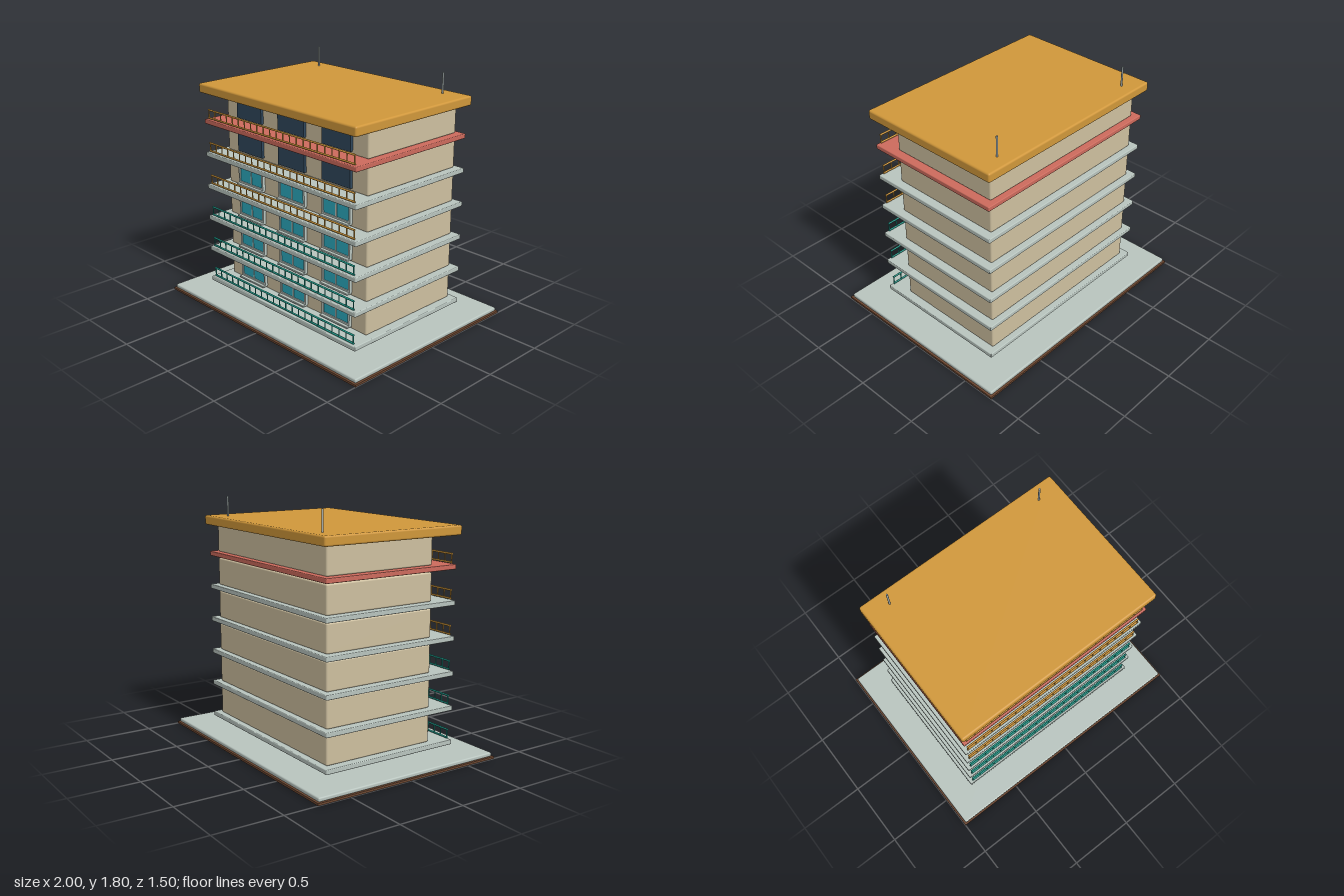
import * as THREE from 'three';
import { RoundedBoxGeometry } from 'three/addons/geometries/RoundedBoxGeometry.js';

const material = (name, color) => Object.assign(new THREE.MeshStandardMaterial({ color }), { name });

export function createModel() {
  const earth = material('earth brown', 0x6b4630);
  const concrete = material('concrete grey', 0xb8c4be);
  const plaster = material('beige plaster', 0xcdbf9f);
  const ochre = material('ochre', 0xd0973a);
  const red = material('coral red', 0xcc6a5c);
  const teal = material('teal', 0x1f9c8c);
  const glass = material('turquoise glass', 0x2cabbf);
  const darkGlass = material('dark blue glass', 0x30475c);
  const metal = material('metal grey', 0xa9b3b3);

  const model = new THREE.Group();
  model.name = 'apartmentBuilding';

  function add(parent, name, geometry, mat, x, y, z) {
    const mesh = new THREE.Mesh(geometry, mat);
    mesh.name = name;
    mesh.position.set(x, y, z);
    parent.add(mesh);
    return mesh;
  }
  const rounded = (w, h, d, r) => new RoundedBoxGeometry(w, h, d, 2, r);
  const box = (w, h, d) => new THREE.BoxGeometry(w, h, d);
  function group(parent, name, x = 0, y = 0, z = 0) {
    const g = new THREE.Group();
    g.name = name;
    g.position.set(x, y, z);
    parent.add(g);
    return g;
  }

  // Ground plate and paving
  add(model, 'groundPlate', box(2, 0.016, 1.5), earth, 0, 0.008, 0);
  add(model, 'paving', rounded(1.975, 0.03, 1.475, 0.01), concrete, 0, 0.03, 0);

  // Shared geometries
  const slabGeo = rounded(1.565, 0.035, 1.08, 0.006);
  const wallGeo = rounded(1.45, 0.205, 0.872, 0.012);
  const railGeo = new THREE.CylinderGeometry(0.007, 0.007, 1.51, 8).rotateZ(Math.PI / 2);
  const postGeo = new THREE.CylinderGeometry(0.0045, 0.0045, 0.06, 8);
  const wallFront = 0.372;

  // Balcony railing, origin on the slab top
  function railing(parent, mat) {
    const g = group(parent, 'railing', 0, 0, 0.522);
    add(g, 'topRail', railGeo, mat, 0, 0.071, 0);
    add(g, 'bottomRail', railGeo, mat, 0, 0.011, 0);
    const gaps = 22;
    for (let i = 0; i <= gaps; i++) {
      add(g, 'railPost', postGeo, mat, -0.75 + (1.5 * i) / gaps, 0.041, 0);
    }
  }

  // Framed window with two panes and a sill
  function framedWindow(parent, x) {
    const g = group(parent, 'window', x, 0.107, wallFront);
    for (const s of [-1, 1]) {
      add(g, 'frameSide', box(0.016, 0.16, 0.026), concrete, s * 0.13, 0, 0.011);
      add(g, 'frameRail', box(0.244, 0.016, 0.026), concrete, 0, s * 0.072, 0.011);
      add(g, 'pane', box(0.118, 0.128, 0.009), glass, s * 0.063, 0, 0.012);
    }
    add(g, 'mullion', box(0.01, 0.13, 0.02), concrete, 0, 0, 0.011);
    add(g, 'sill', rounded(0.276, 0.014, 0.048, 0.004), concrete, 0, -0.084, 0.024);
  }

  // Six storeys
  for (let i = 0; i < 6; i++) {
    const floor = group(model, 'storey' + (i + 1), 0, 0.12 + 0.2525 * i, 0);
    add(floor, 'floorSlab', slabGeo, i === 5 ? red : concrete, 0, -0.0175, 0);
    add(floor, 'walls', wallGeo, plaster, 0, 0.1025, -0.064);
    for (const x of [-0.448, 0, 0.448]) {
      if (i < 4) framedWindow(floor, x);
      else add(floor, 'darkWindow', box(0.27, 0.158, 0.03), darkGlass, x, 0.102, wallFront + 0.007);
    }
    railing(floor, i < 3 ? teal : ochre);
  }

  // Roof slab and antennas
  add(model, 'roof', rounded(1.606, 0.07, 1.134, 0.014), ochre, 0, 1.618, 0);
  for (const s of [-1, 1]) {
    add(model, 'antenna', new THREE.CylinderGeometry(0.007, 0.007, 0.15, 12), metal, s * 0.625, 1.727, -0.463);
  }
  return model;
}
